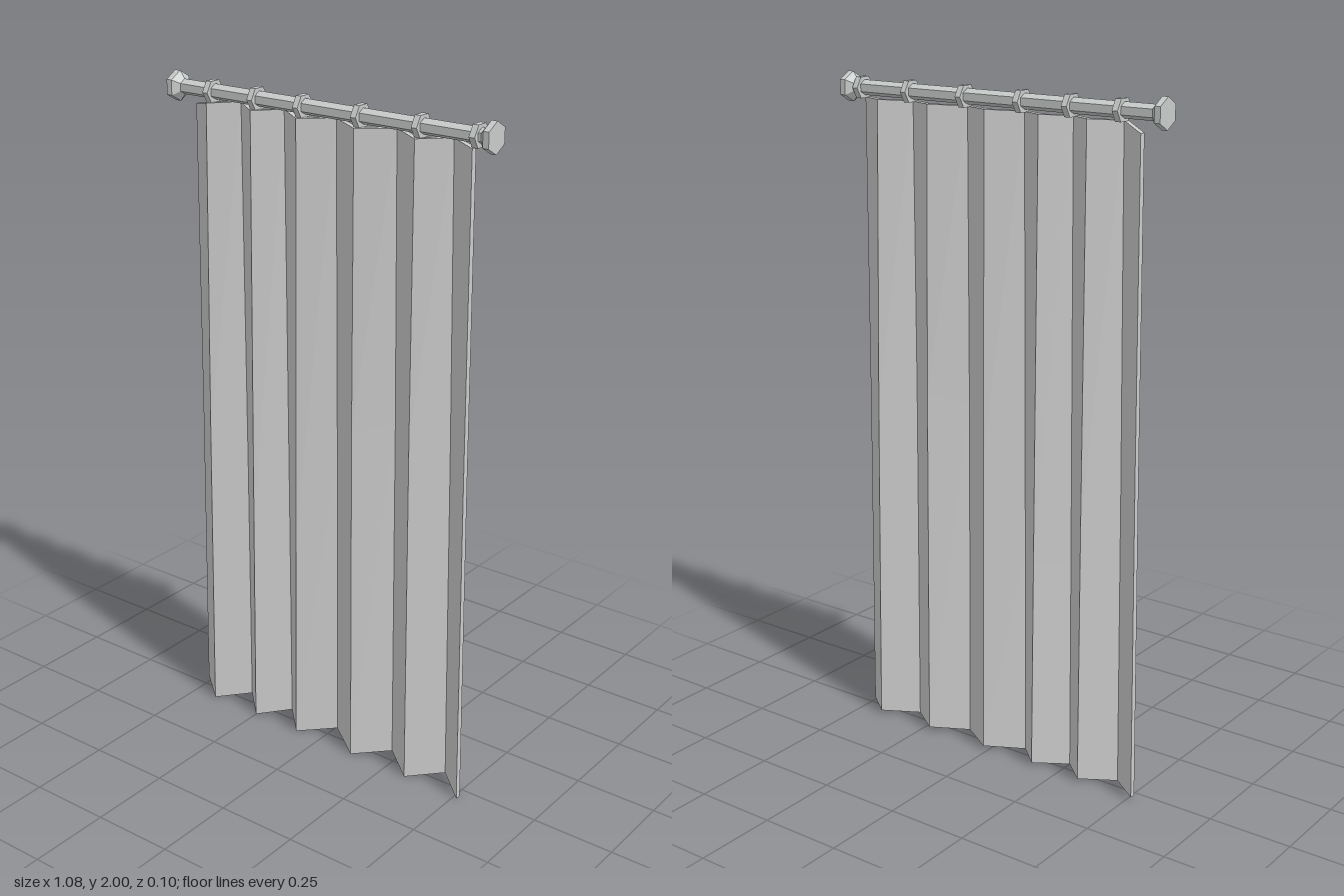
import * as THREE from 'three';

const fabric = new THREE.MeshStandardMaterial({ color: 0xcccccc, flatShading: true });
fabric.name = 'grey fabric';
const metal = new THREE.MeshStandardMaterial({ color: 0xc8cccb, flatShading: true });
metal.name = 'grey metal';

const ROD_Y = 1.957, ROD_Z = 0.007;

// Fold lines from the model's right (-x) to its left; even ones lie back, odd ones forward
const TOP_X = [-0.487, -0.4, -0.32, -0.24, -0.165, -0.08, 0.015, 0.115, 0.215, 0.31, 0.395, 0.487];
const HEM_X = [-0.515, -0.42, -0.33, -0.25, -0.165, -0.087, 0.015, 0.125, 0.225, 0.325, 0.42, 0.512];
const MID_Y = [0.98, 0.92, 0.8, 0.65, 0.65, 0.65, 0.93, 1.06, 1.09, 1.08, 1.03, 1.0];

// Pleated cloth: a zigzag slab with three rows of points on each side
function curtainGeometry() {
  const thick = 0.018, pos = [], idx = [], n = TOP_X.length;
  for (let side = 0; side < 2; side++) {
    for (let row = 0; row < 3; row++) {
      for (let i = 0; i < n; i++) {
        const fwd = i % 2 === 1;
        const top = i === 0 ? 1.907 : fwd ? 1.928 : 1.932;
        const hem = fwd ? 0 : 0.011;
        const y = [hem, MID_Y[i], top][row];
        const t = (y - hem) / (top - hem);
        const amp = [0.048, 0.045, 0.037][row];
        // each fold is offset inward from its outer face
        const z = fwd ? amp - side * thick : -amp + (1 - side) * thick;
        pos.push(HEM_X[i] + (TOP_X[i] - HEM_X[i]) * t, y, z);
      }
    }
  }
  const at = (side, row, i) => (side * 3 + row) * n + i;
  const quad = (a, b, c, d) => idx.push(a, b, c, a, c, d);
  for (let i = 0; i < n - 1; i++) {
    for (let r = 0; r < 2; r++) {
      quad(at(0, r, i), at(0, r, i + 1), at(0, r + 1, i + 1), at(0, r + 1, i));
      quad(at(1, r, i + 1), at(1, r, i), at(1, r + 1, i), at(1, r + 1, i + 1));
    }
    quad(at(0, 2, i), at(0, 2, i + 1), at(1, 2, i + 1), at(1, 2, i)); // top edge
    quad(at(1, 0, i), at(1, 0, i + 1), at(0, 0, i + 1), at(0, 0, i)); // hem
  }
  for (let r = 0; r < 2; r++) { // side edges
    quad(at(1, r, 0), at(0, r, 0), at(0, r + 1, 0), at(1, r + 1, 0));
    quad(at(0, r, n - 1), at(1, r, n - 1), at(1, r + 1, n - 1), at(0, r + 1, n - 1));
  }
  const g = new THREE.BufferGeometry();
  g.setAttribute('position', new THREE.Float32BufferAttribute(pos, 3));
  g.setIndex(idx);
  const flat = g.toNonIndexed();
  flat.computeVertexNormals();
  return flat;
}

// Six-sided solid turned around the x axis from [radius, x] pairs
function hexTurned(profile, spin) {
  const g = new THREE.LatheGeometry(profile.map(([r, x]) => new THREE.Vector2(r, x)), 6);
  g.rotateZ(-Math.PI / 2);
  g.rotateX(spin);
  return g;
}

export function createModel() {
  const group = new THREE.Group();
  const add = (name, geometry, material, x = 0, y = 0, z = 0) => {
    const mesh = new THREE.Mesh(geometry, material);
    mesh.name = name;
    mesh.position.set(x, y, z);
    group.add(mesh);
  };

  add('curtain', curtainGeometry(), fabric);

  // Rod with a flared cap at each end
  add('rod', hexTurned([
    [0, -0.54], [0.0435, -0.54], [0.0435, -0.522], [0.022, -0.505],
    [0.022, 0.505], [0.0435, 0.522], [0.0435, 0.54], [0, 0.54],
  ], Math.PI / 2), metal, 0, ROD_Y, ROD_Z);

  // One ring above each forward fold
  const ring = hexTurned([
    [0.02, -0.009], [0.035, -0.009], [0.035, 0.009], [0.02, 0.009], [0.02, -0.009],
  ], 0);
  for (let i = 1; i < TOP_X.length; i += 2) {
    add('curtainRing', ring, metal, TOP_X[i], ROD_Y, ROD_Z);
  }
  return group;
}
